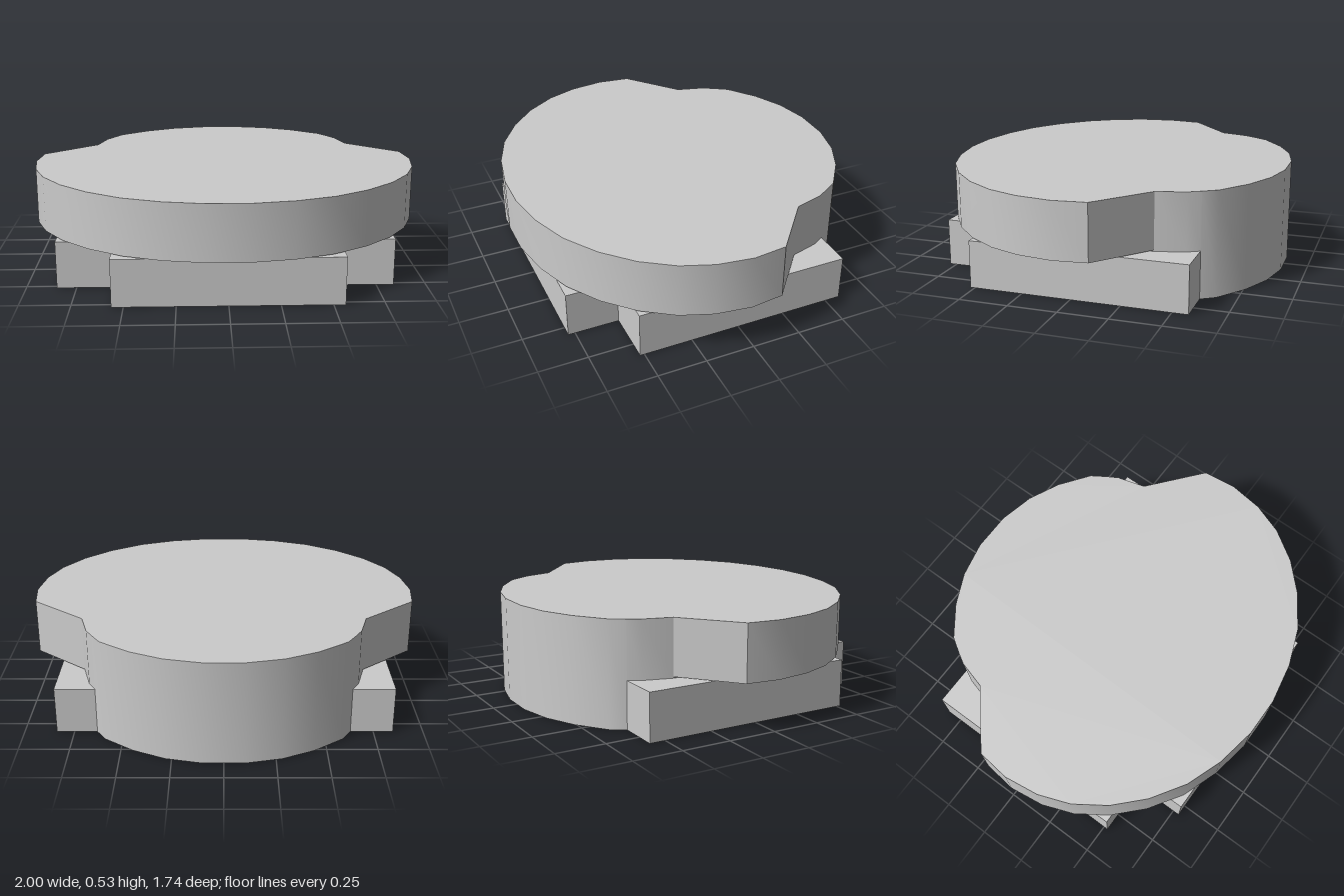
import * as THREE from 'three';
import { toCreasedNormals } from 'three/addons/utils/BufferGeometryUtils.js';

const material = new THREE.MeshStandardMaterial({ color: 0xcccccc, side: THREE.DoubleSide });

// Horizontal sheet from [x, z] corners at height y
function sheet(name, points, y, down = false) {
  const shape = new THREE.Shape(points.map(([x, z]) => new THREE.Vector2(x, -z)));
  const geometry = new THREE.ShapeGeometry(shape).rotateX(-Math.PI / 2);
  if (down) {
    geometry.index.array.reverse();
    geometry.computeVertexNormals();
  }
  geometry.translate(0, y, 0);
  const mesh = new THREE.Mesh(geometry, material);
  mesh.name = name;
  return mesh;
}

// Vertical wall that follows [x, z] points between two heights
function wall(name, points, y0, y1) {
  const v = [];
  for (let i = 0; i < points.length - 1; i++) {
    const [ax, az] = points[i], [bx, bz] = points[i + 1];
    v.push(ax, y0, az, ax, y1, az, bx, y1, bz, ax, y0, az, bx, y1, bz, bx, y0, bz);
  }
  const geometry = new THREE.BufferGeometry();
  geometry.setAttribute('position', new THREE.Float32BufferAttribute(v, 3));
  const mesh = new THREE.Mesh(toCreasedNormals(geometry, 0.45), material);
  mesh.name = name;
  return mesh;
}

const mirror = (points) => points.map(([x, z]) => [-x, z]).reverse();

export function createModel() {
  const group = new THREE.Group();
  const plateY = 0.24, discY = 0.247, topY = 0.53;

  // Half outlines on +x: large front disc and smaller round back
  const frontHalf = [[0.71, -0.375], [0.98, -0.15], [1, 0.02], [0.975, 0.2], [0.915, 0.36],
    [0.81, 0.515], [0.67, 0.65], [0.5, 0.76], [0.31, 0.83], [0.1, 0.868]];
  const backHalf = [[0.1, -0.875], [0.28, -0.835], [0.44, -0.76], [0.59, -0.65], [0.635, -0.58]];
  const front = [...frontHalf, ...mirror(frontHalf)];
  const back = [...mirror(backHalf), ...backHalf];
  const neck = [[0.635, -0.58], [0.67, -0.52], [0.71, -0.375]];

  // Front arc of the round opening, from -x to +x
  const opening = [[-0.71, -0.375]];
  const steps = 24, start = 0.32;
  for (let i = 1; i < steps; i++) {
    const a = Math.PI + start - (i / steps) * (Math.PI + 2 * start);
    opening.push([0.72 * Math.cos(a), -0.15 + 0.72 * Math.sin(a)]);
  }
  opening.push([0.71, -0.375]);

  // Upper disc: lid, underside ring, outer and inner walls
  group.add(
    sheet('discTop', [...front, ...mirror(neck).slice(1), ...back.slice(1), neck[1]], topY),
    sheet('discUnderside', [...front, ...opening.slice(1, -1)], discY, true),
    wall('discWall', front, discY, topY),
    wall('leftNeckWall', neck, plateY, topY),
    wall('rightNeckWall', mirror(neck), plateY, topY),
    wall('backWall', back, 0, topY),
    wall('openingWall', opening, plateY, topY),
  );

  // Base: stepped tray, open underneath
  const base = [[0.635, -0.58], [0.838, -0.58], [0.838, 0.522], [0.558, 0.522], [0.558, 0.785],
    [-0.558, 0.785], [-0.558, 0.522], [-0.848, 0.522], [-0.848, -0.58], [-0.635, -0.58]];
  group.add(
    sheet('basePlate', [...base, [-0.67, -0.52], ...opening, [0.67, -0.52]], plateY),
    wall('baseWall', base, 0, plateY),
  );
  return group;
}
